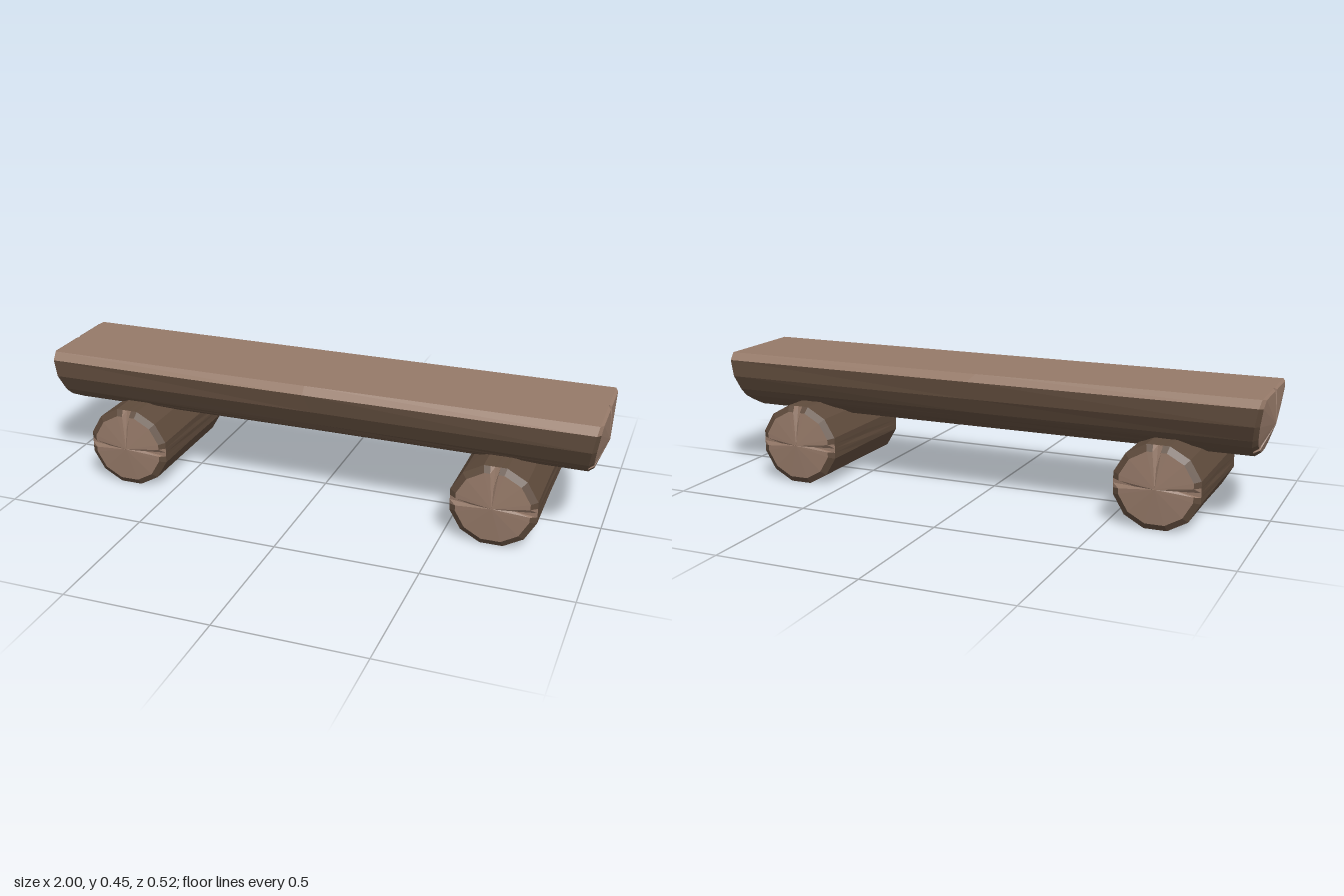
import * as THREE from 'three';

const bark = new THREE.MeshStandardMaterial({ color: 0x5f4b3c });
bark.name = 'bark brown';
const wood = new THREE.MeshStandardMaterial({ color: 0x957968 });
wood.name = 'cut wood';
bark.flatShading = wood.flatShading = true;

// Triangle soup to a flat-shaded mesh
function meshOf(name, tris, material) {
  const geometry = new THREE.BufferGeometry();
  geometry.setAttribute('position', new THREE.Float32BufferAttribute(tris.flat(), 3));
  geometry.computeVertexNormals();
  const mesh = new THREE.Mesh(geometry, material);
  mesh.name = name;
  return mesh;
}

// A log along z. Profile points run counter-clockwise: { p: [x, y], tip?: [x, y], cut?: bool }.
// 'tip' is the inner point of a crack at the sawn end; 'cut' marks a sawn face up to the next point.
function buildLog(name, profile, o) {
  const barkTris = [], woodTris = [];
  const [cx, cy] = o.centre;
  const n = profile.length;
  const bodyRing = (s) => profile.map(({ p: [x, y] }) => [x, y, s * o.bodyEnd(y)]);
  const capRing = (s) => profile.map(({ p, tip }) => {
    const x = tip ? tip[0] : cx + (p[0] - cx) * o.shrink;
    const y = tip ? tip[1] : p[1] > o.flatTop ? p[1] - 0.004 : cy + (p[1] - cy) * o.shrink;
    return [x, y, s * o.capEnd(y)];
  });
  // Slightly uneven hewn section halfway along
  const midRing = profile.map(({ p: [x, y] }, i) => {
    const k = y > o.flatTop || y < 0.02 ? 1 : 1 - o.uneven * (1 + Math.sin(i * 2.4));
    return [cx + (x - cx) * k, cy + (y - cy) * k, 0.02 * Math.sin(i * 1.7)];
  });
  const rings = [capRing(-1), bodyRing(-1), midRing, bodyRing(1), capRing(1)];

  for (let r = 0; r < rings.length - 1; r++) {
    const a = rings[r], b = rings[r + 1];
    const chamfer = r === 0 || r === rings.length - 2;
    for (let i = 0; i < n; i++) {
      const j = (i + 1) % n;
      const crack = chamfer && (profile[i].tip || profile[j].tip);
      const out = profile[i].cut || crack ? woodTris : barkTris;
      out.push(...a[i], ...a[j], ...b[j], ...a[i], ...b[j], ...b[i]);
    }
  }
  // Sawn ends, fanned out from a raised centre
  for (let i = 0; i < n; i++) {
    const j = (i + 1) % n;
    const back = rings[0], front = rings[4];
    woodTris.push(cx, cy, o.peak, ...front[i], ...front[j]);
    woodTris.push(cx, cy, -o.peak, ...back[j], ...back[i]);
  }
  const group = new THREE.Group();
  group.name = name;
  group.add(meshOf(name + 'Bark', barkTris, bark), meshOf(name + 'CutWood', woodTris, wood));
  return group;
}

// Twelve-sided round log with cracks at the right, top and left
function legProfile() {
  const R = 0.148, cy = 0.143, points = [];
  for (let k = 0; k < 12; k++) {
    const t = (k * 30 - 15) * Math.PI / 180;
    points.push({ p: [R * 1.03 * Math.cos(t), cy + R * Math.sin(t)] });
    if (k === 0 || k === 3 || k === 6) {
      const m = t + Math.PI / 12, c = Math.cos(m), s = Math.sin(m), d = R * 0.966;
      const at = (r, w) => [(c * r - s * w) * 1.03, cy + s * r + c * w];
      points.push({ p: at(d, -0.016) }, { p: at(d, 0), tip: at(0.07, 0) }, { p: at(d, 0.016) });
    }
  }
  return points;
}

// Half log, flat side up, with three cracks
const seatProfile = [
  { p: [0.2, 0.365] },
  { p: [0.2, 0.425], cut: true },
  { p: [0.175, 0.45], cut: true },
  { p: [0.014, 0.45], cut: true },
  { p: [0, 0.45], tip: [0, 0.38], cut: true },
  { p: [-0.014, 0.45], cut: true },
  { p: [-0.175, 0.45], cut: true },
  { p: [-0.2, 0.425] },
  { p: [-0.2, 0.365] },
  { p: [-0.168, 0.306] },
  { p: [-0.152, 0.289] },
  { p: [-0.142, 0.281], tip: [-0.062, 0.312] },
  { p: [-0.13, 0.272] },
  { p: [-0.07, 0.24] },
  { p: [-0.02, 0.228] },
  { p: [0.05, 0.231] },
  { p: [0.085, 0.248] },
  { p: [0.098, 0.255], tip: [0.04, 0.302] },
  { p: [0.112, 0.262] },
  { p: [0.15, 0.285] },
  { p: [0.172, 0.312] },
];

export function createModel() {
  const model = new THREE.Group();
  model.name = 'logBench';

  const seat = buildLog('seat', seatProfile, {
    centre: [0, 0.335], shrink: 0.88, flatTop: 0.42, uneven: 0.025, peak: 1,
    bodyEnd: (y) => 0.945 + (y - 0.23) * 0.18,
    capEnd: (y) => 0.962 + (y - 0.23) * 0.15,
  });
  seat.rotation.y = Math.PI / 2;
  model.add(seat);

  for (const side of [-1, 1]) {
    const leg = buildLog(side > 0 ? 'leftLeg' : 'rightLeg', legProfile(), {
      centre: [0, 0.143], shrink: 0.85, flatTop: 1, uneven: 0.01, peak: 0.26,
      bodyEnd: () => 0.235,
      capEnd: () => 0.249,
    });
    leg.position.x = side * 0.672;
    model.add(leg);
  }
  return model;
}
